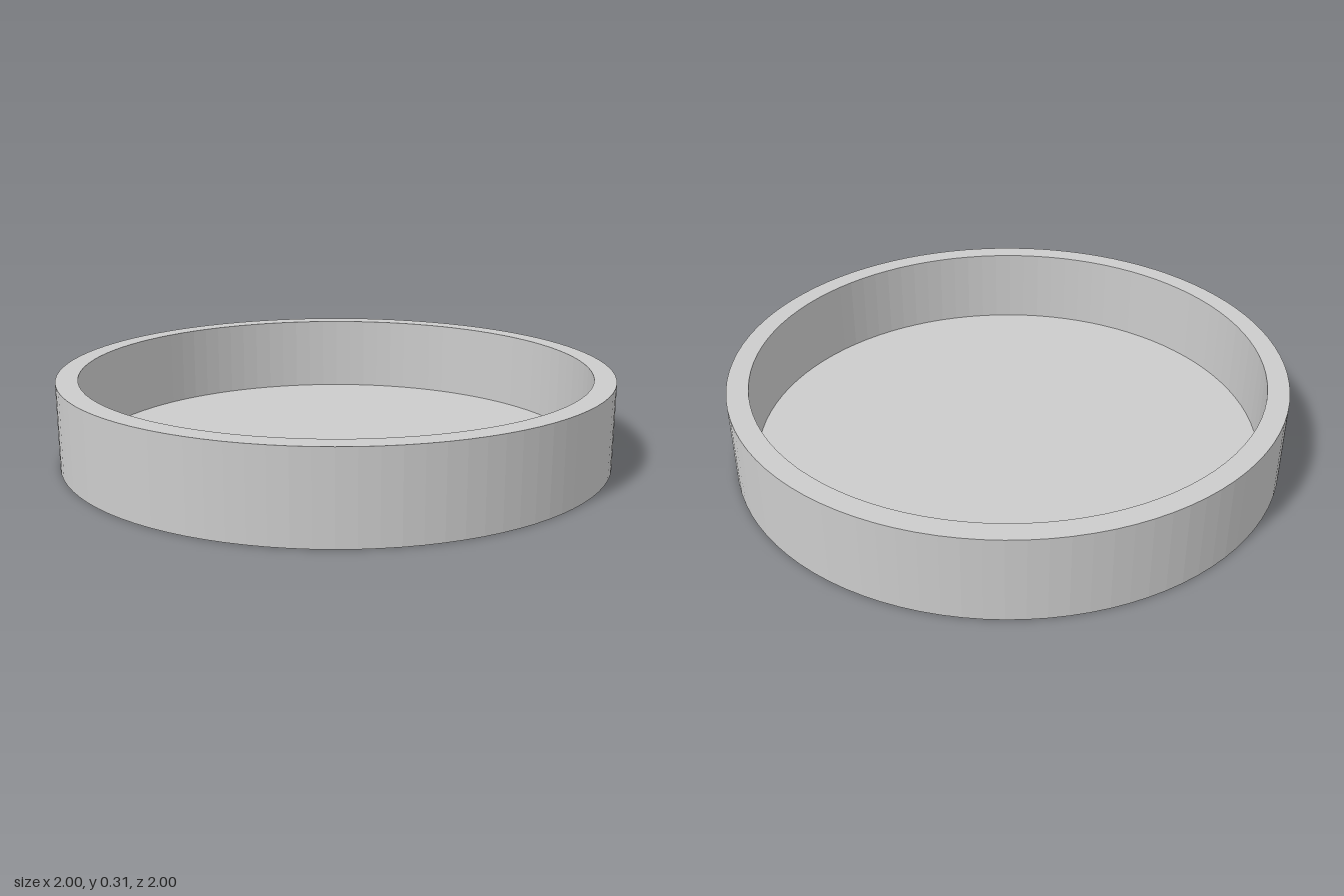
import * as THREE from 'three';

const RADIUS = 1, INNER = 0.923, HEIGHT = 0.308, FLOOR = 0.019, SIDES = 96;

export function createModel() {
  const group = new THREE.Group();
  group.name = 'roundTray';

  // closed cross-section: underside, outer wall, rim, inner wall, floor
  const profile = [
    [0, 0], [RADIUS, 0], [RADIUS, HEIGHT],
    [INNER, HEIGHT], [INNER, FLOOR], [0, FLOOR],
  ].map(([r, y]) => new THREE.Vector2(r, y));

  const tray = new THREE.Mesh(
    new THREE.LatheGeometry(profile, SIDES),
    new THREE.MeshStandardMaterial({ color: 0xcccccc, flatShading: true })
  );
  tray.name = 'tray';
  group.add(tray);
  return group;
}
